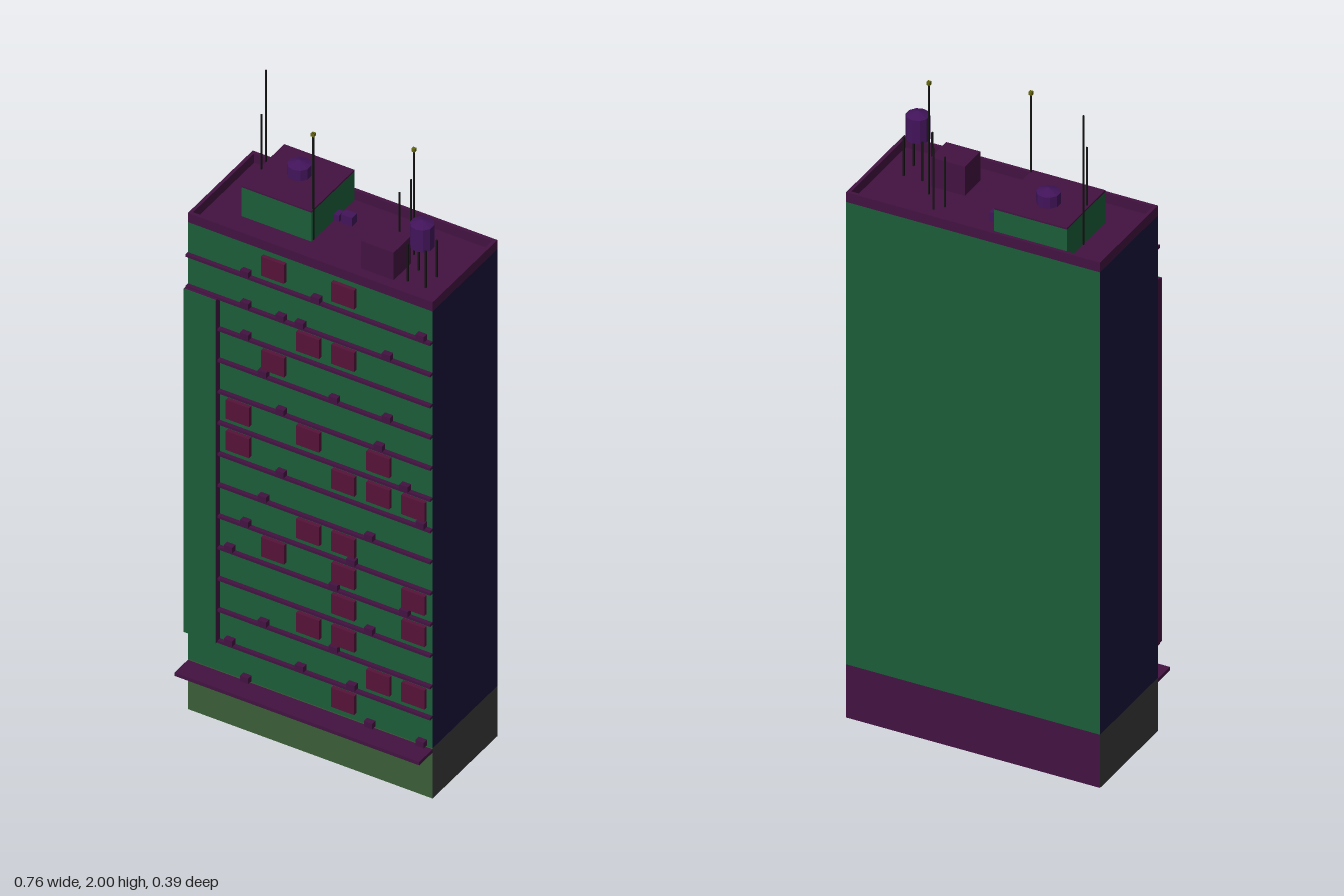
import * as THREE from 'three';

const mat = (color) => new THREE.MeshStandardMaterial({ color, flatShading: true, side: THREE.DoubleSide });

export function createModel() {
  const group = new THREE.Group();
  const green = mat(0x1a5c38), navy = mat(0x181238), purple = mat(0x421240), olive = mat(0x3a5c36);
  const grey = mat(0x383838), pane = mat(0x551238), violet = mat(0x42145a), dark = mat(0x141414), yellow = mat(0x666614);

  const W = 0.38, FRONT = 0.13, BACK = -0.197, ROOF = 1.6, BASE = 0.165;
  const PITCH = (ROOF - BASE) / 14;
  const MID = (FRONT + BACK) / 2, DEPTH = FRONT - BACK;

  const add = (name, geo, material, x, y, z) => {
    const m = new THREE.Mesh(geo, material);
    m.name = name;
    m.position.set(x, y, z);
    group.add(m);
    return m;
  };
  // box given by its extents on each axis
  const box = (name, material, x0, x1, y0, y1, z0, z1) =>
    add(name, new THREE.BoxGeometry(x1 - x0, y1 - y0, z1 - z0), material, (x0 + x1) / 2, (y0 + y1) / 2, (z0 + z1) / 2);

  // hollow shell, open at the bottom
  const shell = (name, y0, y1, front, side, back) => {
    const h = y1 - y0, y = (y0 + y1) / 2;
    add(name + 'Front', new THREE.PlaneGeometry(2 * W, h), front, 0, y, FRONT);
    add(name + 'Back', new THREE.PlaneGeometry(2 * W, h), back, 0, y, BACK).rotation.y = Math.PI;
    for (const s of [-1, 1])
      add(name + 'Side', new THREE.PlaneGeometry(DEPTH, h), side, s * W, y, MID).rotation.y = s * Math.PI / 2;
  };
  shell('groundFloor', 0, BASE, olive, grey, purple);
  shell('tower', BASE, ROOF, green, navy, green);
  add('roof', new THREE.PlaneGeometry(2 * W, DEPTH), purple, 0, ROOF, MID).rotation.x = -Math.PI / 2;

  // parapet around the roof
  const T = 0.01, TOP = 1.63;
  box('parapetFront', purple, -W, W, ROOF, TOP, FRONT - T, FRONT);
  box('parapetBack', purple, -W, W, ROOF, TOP, BACK, BACK + T);
  for (const s of [-1, 1])
    add('parapetSide', new THREE.BoxGeometry(T, TOP - ROOF, DEPTH - 2 * T), purple, s * (W - T / 2), (ROOF + TOP) / 2, MID);

  // entrance canopy and the tall blank panel on the facade
  box('canopy', purple, -W, W, 0.151, 0.162, FRONT, 0.197);
  const panelBottom = BASE + PITCH, panelTop = BASE + 12 * PITCH;
  box('facadePanel', purple, -W, -0.28, panelBottom, panelTop, FRONT, 0.15);
  box('facadePanelFace', green, -W, -0.28, panelBottom, panelTop, 0.15, 0.152);

  // floor ledges
  for (let i = 1; i < 14; i++) {
    const y = BASE + i * PITCH;
    box('ledge', purple, i > 1 && i < 12 ? -0.28 : -W, W, y - 0.004, y + 0.004, FRONT, 0.142);
  }

  // window bays by floor, as column numbers
  const windows = [[3], [4, 5], [2, 3], [3, 5], [1, 3, 5], [2, 3], [], [0, 3, 4, 5], [0, 2, 4], [], [1], [2, 3], [], [1, 3]];
  windows.forEach((cols, i) => cols.forEach((c) => {
    const x = -0.219 + c * 0.109, y = BASE + i * PITCH + 0.056;
    box('windowBay', pane, x - 0.036, x + 0.036, y - 0.031, y + 0.031, FRONT, 0.142);
  }));

  // small air conditioners standing on the ledges, x positions by floor
  const coolers = [
    [-0.195, 0.19, 0.35], [-0.245, -0.025, 0.135], [-0.14, 0.08], [0.19], [-0.245, 0.08, 0.3],
    [-0.195, 0.135], [-0.14, 0.19], [-0.085, 0.35], [0.3], [-0.085, 0.22],
    [-0.14, 0.08, 0.245], [-0.195], [-0.195, -0.085, -0.025, 0.245], [-0.195, 0.025, 0.35]];
  coolers.forEach((xs, i) => xs.forEach((x) => {
    const y = BASE + i * PITCH + 0.004;
    box('airConditioner', purple, x - 0.013, x + 0.013, y, y + 0.018, FRONT, 0.147);
  }));

  // roof huts and duct
  box('penthouse', green, -0.274, -0.056, ROOF, 1.695, -0.184, 0.033);
  box('penthouseRoof', purple, -0.274, -0.056, 1.695, 1.7, -0.184, 0.033);
  box('plantRoom', purple, 0.117, 0.219, ROOF, 1.69, -0.023, 0.065);
  box('duct', violet, -0.056, -0.04, ROOF, 1.62, -0.105, -0.08);
  box('ductUnit', violet, -0.034, 0, ROOF, 1.628, -0.105, -0.08);

  // faceted tanks with low conical lids
  const tank = (name, x, z, y0, y1) => {
    add(name, new THREE.CylinderGeometry(0.033, 0.033, y1 - y0, 10), violet, x, (y0 + y1) / 2, z);
    add(name + 'Lid', new THREE.ConeGeometry(0.033, 0.013, 10, 1, true), violet, x, y1 + 0.0065, z);
  };
  tank('ventDrum', -0.17, -0.092, 1.7, 1.734);
  tank('waterTank', 0.28, 0.02, 1.71, 1.782);
  for (const sx of [-1, 1]) for (const sz of [-1, 1])
    add('tankLeg', new THREE.BoxGeometry(0.005, 0.12, 0.005), dark, 0.28 + sx * 0.028, ROOF + 0.06, 0.02 + sz * 0.028);

  // antennas: x, z, top, capped
  const antennas = [
    [-0.275, -0.093, 2, false], [-0.267, -0.057, 1.88, false], [-0.057, 0.022, 1.95, true],
    [0.205, -0.06, 1.95, true], [0.137, -0.097, 1.755, false], [0.158, -0.122, 1.79, false]];
  for (const [x, z, top, capped] of antennas) {
    add('antenna', new THREE.BoxGeometry(0.004, top - ROOF, 0.004), dark, x, (top + ROOF) / 2, z);
    if (capped) add('antennaLight', new THREE.BoxGeometry(0.01, 0.01, 0.01), yellow, x, top - 0.005, z);
  }
  return group;
}
